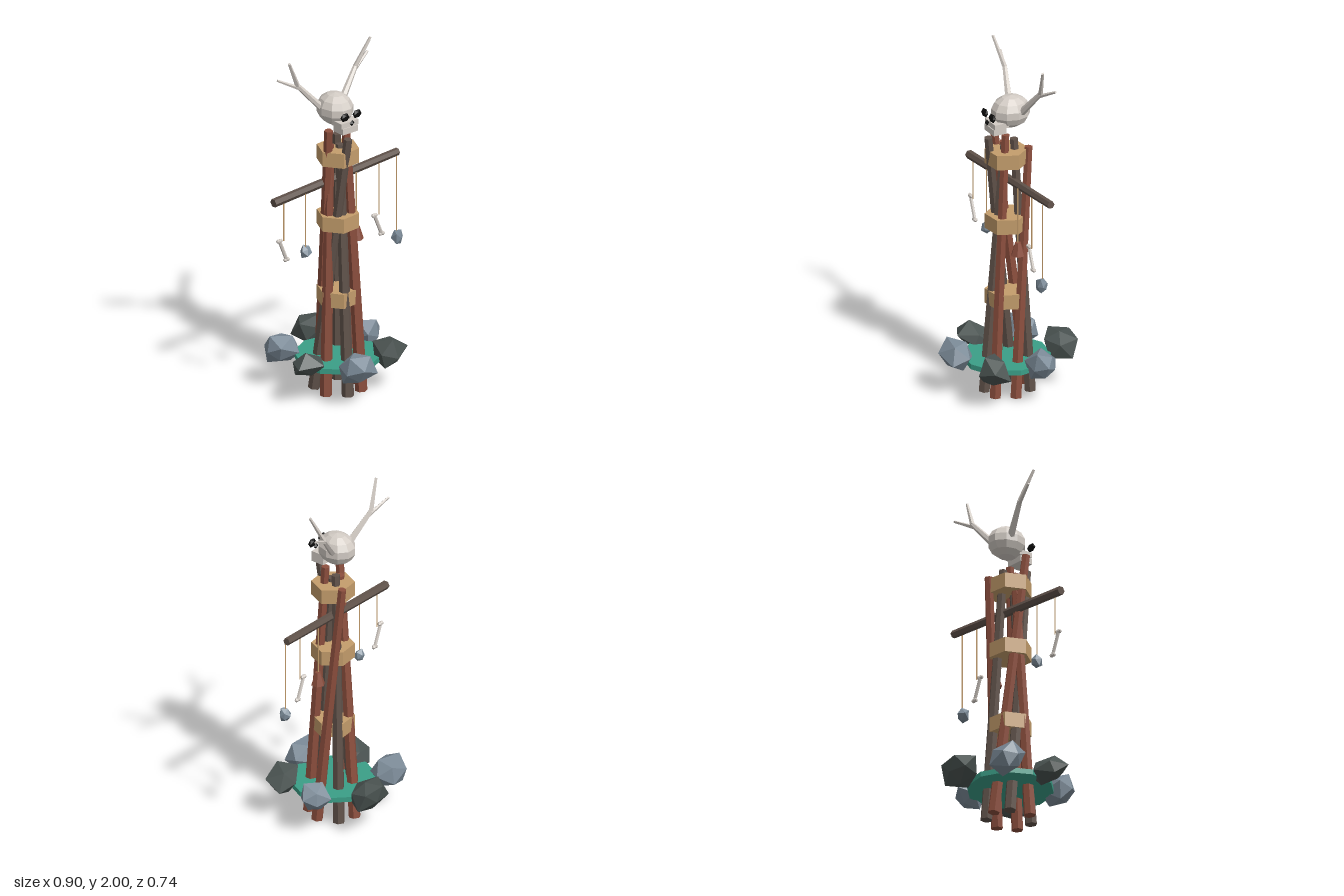
import * as THREE from 'three';

const mat = (name, color) => {
  const m = new THREE.MeshStandardMaterial({ color });
  m.name = name;
  m.flatShading = true;
  return m;
};

export function createModel() {
  const red = mat('redWood', 0x8b4e3d), dark = mat('darkWood', 0x60524a);
  const tan = mat('ropeTan', 0xc49d6c), teal = mat('tealMoss', 0x3b9e87);
  const slate = mat('slateStone', 0x7b8a97), coal = mat('darkStone', 0x495250);
  const bone = mat('bone', 0xd3ccc5), black = mat('black', 0x0b0b0b);

  const root = new THREE.Group();
  root.name = 'totem';
  const V = (a) => new THREE.Vector3(...a);

  const add = (name, geo, material, pos = [0, 0, 0], parent = root) => {
    const m = new THREE.Mesh(geo, material);
    m.name = name;
    m.position.set(...pos);
    parent.add(m);
    return m;
  };

  // tapered rod between two points
  const rod = (name, a, b, r0, r1, material, sides = 6, parent = root) => {
    const p = V(a), q = V(b), d = q.clone().sub(p);
    const m = add(name, new THREE.CylinderGeometry(r1, r0, d.length(), sides), material,
      p.clone().add(q).multiplyScalar(0.5).toArray(), parent);
    m.quaternion.setFromUnitVectors(new THREE.Vector3(0, 1, 0), d.normalize());
    return m;
  };

  // irregular stone fitted to the given half extents
  const stone = (name, pos, half, material, seed) => {
    const g = new THREE.IcosahedronGeometry(1, 0);
    g.rotateY(seed * 1.3).rotateX(seed * 0.7);
    const p = g.attributes.position, v = new THREE.Vector3();
    for (let i = 0; i < p.count; i++) {
      v.fromBufferAttribute(p, i);
      const k = 1 + 0.24 * Math.sin(v.x * 5 + v.y * 7 + v.z * 3 + seed * 2.1);
      p.setXYZ(i, v.x * k, v.y * k, v.z * k);
    }
    g.center();
    g.computeBoundingBox();
    const s = g.boundingBox.max;
    g.scale(half[0] / s.x, half[1] / s.y, half[2] / s.z);
    g.computeVertexNormals();
    return add(name, g, material, pos);
  };

  // bundle of posts crossing inside the bands: base x, z, top x, z, height
  [
    [-0.118, 0.04, -0.05, -0.01, 1.47, red],
    [-0.03, 0.122, 0.0, 0.015, 1.47, dark],
    [0.075, 0.11, 0.035, 0.025, 1.55, red],
    [0.128, 0.01, 0.055, -0.108, 1.46, red],
    [0.08, -0.105, 0.02, -0.035, 1.51, dark],
    [-0.02, -0.135, -0.094, 0.033, 1.58, red],
    [-0.1, -0.085, -0.015, 0.105, 1.53, dark],
  ].forEach(([bx, bz, tx, tz, h, m]) =>
    rod('post', [bx, 0.005, bz], [tx, h, tz], 0.034, 0.024, m));

  // binding bands
  for (const y of [0.567, 1.018, 1.407])
    add('band', new THREE.CylinderGeometry(0.12, 0.12, 0.086, 6), tan, [0, y, 0])
      .rotation.y = 0.63;

  // ground disc
  add('mossDisc', new THREE.CylinderGeometry(0.244, 0.244, 0.03, 10), teal, [0, 0.2, 0])
    .rotation.y = 1.41;

  // ring of rocks
  [
    [0.066, -0.29, 0.111, 0.082, coal],
    [-0.222, -0.207, 0.103, 0.085, slate],
    [0.275, -0.088, 0.081, 0.09, slate],
    [-0.265, 0.065, 0.103, 0.11, coal],
    [-0.075, 0.272, 0.102, 0.094, slate],
    [0.215, 0.192, 0.088, 0.087, coal],
  ].forEach(([x, z, hx, hz, m], i) =>
    stone('rock', [x, 0.233, z], [hx, 0.083, hz], m, i + 1));

  // crossbeam
  rod('crossbeam', [-0.45, 1.23, -0.01], [0.45, 1.28, -0.034], 0.025, 0.022, dark);

  // hanging charms
  const string = (x, low) =>
    rod('string', [x, low, 0], [x, 1.25 + x * 0.055, 0], 0.004, 0.004, tan, 4);
  const hangBone = (x, top, bottom) => {
    const g = new THREE.Group();
    g.name = 'hangingBone';
    root.add(g);
    const a = [x - 0.025, top, 0], b = [x + 0.025, bottom, 0];
    rod('boneShaft', a, b, 0.01, 0.01, bone, 6, g);
    for (const e of [a, b]) for (const s of [-1, 1])
      add('boneKnob', new THREE.IcosahedronGeometry(0.013, 0), bone, [e[0] + s * 0.008, e[1], 0], g);
  };
  string(-0.385, 0.99);
  hangBone(-0.39, 0.997, 0.873);
  string(-0.23, 0.91);
  stone('hangingStone', [-0.23, 0.885, 0], [0.031, 0.037, 0.031], slate, 8);
  string(0.13, 0.92);
  add('bell', new THREE.CylinderGeometry(0.017, 0.04, 0.075, 6), red, [0.132, 0.897, 0]);
  string(0.29, 0.96);
  hangBone(0.284, 0.962, 0.84);
  string(0.415, 0.82);
  stone('hangingStone', [0.415, 0.793, 0], [0.034, 0.041, 0.034], slate, 9);

  // skull
  const skull = new THREE.Group();
  skull.name = 'skull';
  root.add(skull);
  add('cranium', new THREE.SphereGeometry(1, 10, 7), bone, [0, 1.671, -0.026], skull)
    .scale.set(0.097, 0.093, 0.114);
  add('upperJaw', new THREE.BoxGeometry(0.12, 0.03, 0.085), bone, [0, 1.615, 0.06], skull);
  add('lowerJaw', new THREE.BoxGeometry(0.108, 0.036, 0.08), bone, [0, 1.582, 0.068], skull);
  const nose = add('nose', new THREE.OctahedronGeometry(0.018), black, [0, 1.629, 0.121], skull);
  nose.scale.z = 0.7;

  // eyes and antlers, mirrored
  for (const s of [-1, 1]) {
    add('eye', new THREE.IcosahedronGeometry(1, 0), black, [s * 0.043, 1.67, 0.112], skull)
      .scale.set(0.03, 0.027, 0.016);
    const joint = [s * 0.205, 1.835, -0.1];
    rod('antlerBeam', [s * 0.07, 1.68, -0.055], joint, 0.021, 0.014, bone, 6, skull);
    rod('antlerTine', joint, [s * 0.288, 1.998, -0.07], 0.014, 0.008, bone, 5, skull);
    rod('antlerBranch', [s * 0.185, 1.812, -0.094], [s * 0.32, 1.885, -0.134], 0.012, 0.007, bone, 5, skull);
  }
  return root;
}
